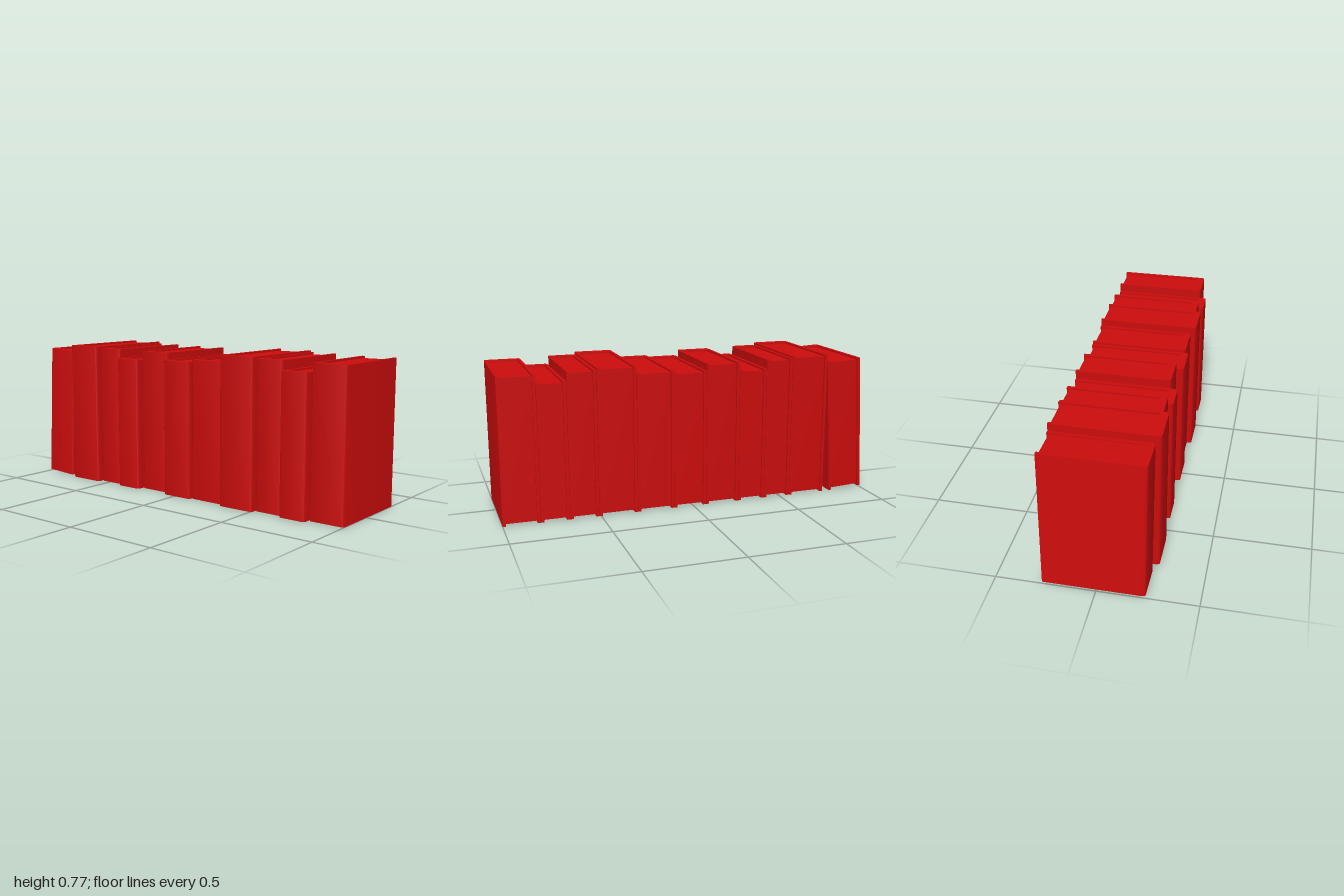
import * as THREE from 'three';
import { toCreasedNormals } from 'three/addons/utils/BufferGeometryUtils.js';

const BACK = -0.266;   // shared back line of the covers
const COVER = 0.016;   // board thickness
const SPINE = 0.042;   // spine thickness
const INSET = 0.01;    // how far the pages sit inside the covers

// Horizontal U-shaped section (drawn with y = -z) raised to the book's height
function coverGeometry(w, h, front) {
  const x = w / 2, rx = 0.01, rz = 0.022;
  const s = new THREE.Shape();
  s.moveTo(-x, -BACK);
  s.lineTo(-x, -front + rz);
  s.quadraticCurveTo(-x + 0.002, -front + 0.002, -x + rx, -front);
  s.lineTo(x - rx, -front);
  s.quadraticCurveTo(x - 0.002, -front + 0.002, x, -front + rz);
  s.lineTo(x, -BACK);
  s.lineTo(x - COVER, -BACK);
  s.lineTo(x - COVER, -front + SPINE);
  s.lineTo(-x + COVER, -front + SPINE);
  s.lineTo(-x + COVER, -BACK);
  s.closePath();
  const g = new THREE.ExtrudeGeometry(s, { depth: h, bevelEnabled: false, curveSegments: 6 });
  g.rotateX(-Math.PI / 2);
  return toCreasedNormals(g, 0.7);
}

// One book standing on y = 0, centred on x = 0
function makeBook(w, h, front, material) {
  const book = new THREE.Group();
  const cover = new THREE.Mesh(coverGeometry(w, h, front), material);
  cover.name = 'cover';
  const z0 = BACK + INSET, z1 = front - SPINE;
  const pages = new THREE.Mesh(
    new THREE.BoxGeometry(w - 2 * COVER, h - 2 * INSET, z1 - z0), material);
  pages.position.set(0, h / 2, (z0 + z1) / 2);
  pages.name = 'pages';
  book.add(cover, pages);
  return book;
}

export function createModel() {
  const model = new THREE.Group();
  model.name = 'bookRow';
  const red = new THREE.MeshStandardMaterial({ color: 0xcc0c0c });

  // Upright books: left edge, right edge, height, spine front
  const upright = [
    [-0.763, -0.559, 0.768, 0.266],
    [-0.557, -0.409, 0.759, 0.235],
    [-0.407, -0.257, 0.712, 0.258],
    [-0.255, -0.073, 0.756, 0.222],
    [-0.071, 0.104, 0.72, 0.258],
    [0.106, 0.303, 0.732, 0.24],
    [0.305, 0.508, 0.768, 0.266],
    [0.51, 0.659, 0.759, 0.235],
    [0.661, 0.809, 0.712, 0.258],
    [0.811, 1.0, 0.756, 0.222],
  ];
  upright.forEach(([x0, x1, h, front], i) => {
    const book = makeBook(x1 - x0, h, front, red);
    book.position.x = (x0 + x1) / 2;
    book.name = `uprightBook${i + 1}`;
    model.add(book);
  });

  // End book leaning on the row, pivoting on its inner bottom edge
  const w = 0.196;
  const leaning = new THREE.Group();
  leaning.name = 'leaningBook';
  const book = makeBook(w, 0.732, 0.24, red);
  book.position.x = -w / 2;
  leaning.add(book);
  leaning.position.x = -0.804;
  leaning.rotation.z = -0.053;
  model.add(leaning);
  return model;
}
